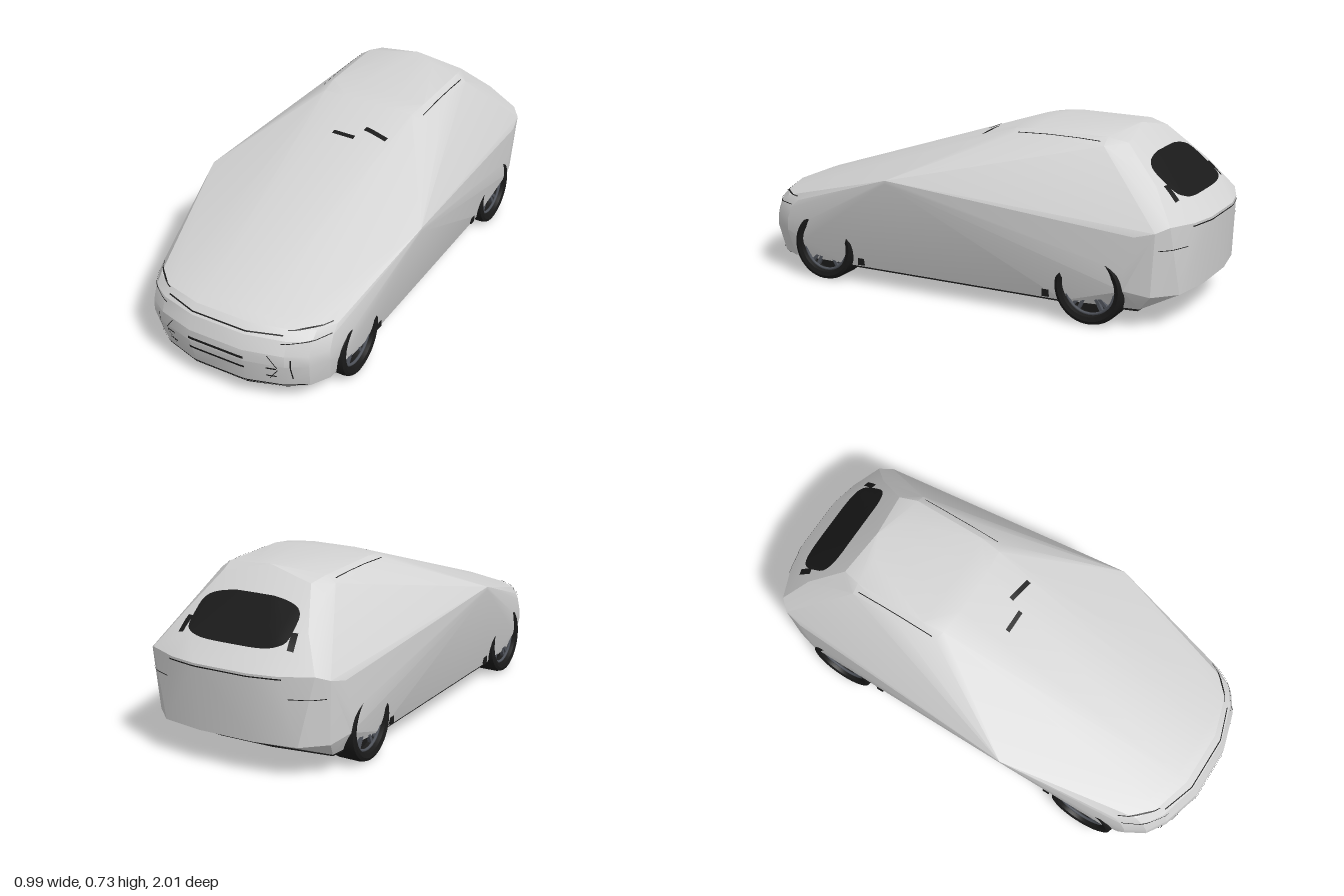
import * as THREE from 'three';
import { toCreasedNormals } from 'three/addons/utils/BufferGeometryUtils.js';
import { ConvexGeometry } from 'three/addons/geometries/ConvexGeometry.js';

const material = (name, color, side = THREE.FrontSide) => {
  const m = new THREE.MeshStandardMaterial({ color, side });
  m.name = name;
  return m;
};

// Key points of the body's left half; the shell is stretched over these and their mirror
function bodyPoints() {
  const half = [];
  const push = (x, y, z) => half.push(new THREE.Vector3(x, y, z));
  // Nose: one plan outline repeated at several heights, set back and crowned
  const plan = [[0.12, 1], [0.28, 0.953], [0.36, 0.9], [0.405, 0.82]];
  const levels = [[0.08, 0.028, 0.96], [0.2, 0, 1], [0.25, 0.002, 1], [0.31, 0.025, 1], [0.345, 0.06, 1], [0.362, 0.105, 0.97]];
  for (const [y, setBack, width] of levels) {
    for (const [x, z] of plan) push(x * width, y * (1 - 0.3 * x * x), z - setBack);
  }
  // Wheel arches and sill
  for (const [z, sillZ] of [[0.72, 0.5], [-0.76, -0.5]]) {
    push(0.425, 0.24, z);
    push(0.42, 0.16, z);
    push(0.403, 0.078, sillZ);
  }
  // Door mirror tip
  push(0.495, 0.492, 0.26);
  push(0.495, 0.478, 0.26);
  push(0.49, 0.485, 0.28);
  // Roof
  const roof = [
    [0.1, 0.712, -0.18], [0.21, 0.703, -0.19], [0.25, 0.688, -0.2], [0.1, 0.721, -0.27], [0.22, 0.712, -0.28],
    [0.265, 0.685, -0.4], [0.1, 0.726, -0.6], [0.22, 0.709, -0.6], [0.26, 0.68, -0.6], [0, 0.734, -0.65],
  ];
  // Tailgate and rear bumper
  const tail = [
    [0.2, 0.69, -0.68], [0.24, 0.64, -0.72], [0.28, 0.55, -0.83], [0.2, 0.5, -0.91],
    [0.12, 0.415, -1], [0.24, 0.415, -0.975], [0.365, 0.42, -0.925], [0.405, 0.4, -0.88], [0.42, 0.38, -0.8],
    [0.12, 0.14, -0.975], [0.3, 0.14, -0.945], [0.39, 0.14, -0.86], [0.12, 0.08, -0.84], [0.37, 0.08, -0.81],
  ];
  for (const p of [...roof, ...tail]) push(...p);
  return half.flatMap((p) => [p, new THREE.Vector3(-p.x, p.y, p.z)]);
}

export function createModel() {
  const paint = material('pale grey paint', 0xd4d4d4);
  const black = material('black trim', 0x1a1a1a, THREE.DoubleSide);
  const rimGrey = material('dark grey metal', 0x50545c);
  const car = new THREE.Group();
  const add = (name, geometry, mat, parent = car) => {
    const mesh = new THREE.Mesh(geometry, mat);
    mesh.name = name;
    parent.add(mesh);
    return mesh;
  };

  const body = add('bodyShell', toCreasedNormals(new ConvexGeometry(bodyPoints()), 0.3), paint);

  // Lay a flat patch onto the shell; the direction tells which way it is pressed on
  const ray = new THREE.Raycaster();
  const press = (name, geometry, direction) => {
    const p = geometry.attributes.position;
    const dir = direction === 'down' ? new THREE.Vector3(0, -1, 0)
      : new THREE.Vector3(0, 0, direction === 'back' ? -1 : 1);
    for (let i = 0; i < p.count; i++) {
      const u = p.getX(i), v = p.getY(i);
      const target = direction === 'down' ? new THREE.Vector3(u, 0.3, v) : new THREE.Vector3(u, v, 0);
      ray.set(target.clone().addScaledVector(dir, -3), dir);
      const hit = ray.intersectObject(body)[0];
      if (hit) target.copy(hit.point).addScaledVector(hit.face.normal, 0.004);
      p.setXYZ(i, target.x, target.y, target.z);
    }
    geometry.computeVertexNormals();
    add(name, geometry, black);
  };
  const strip = (name, x, v, width, height, direction, angle = 0) => press(name,
    new THREE.PlaneGeometry(width, height, Math.ceil(width / 0.02), Math.ceil(height / 0.02))
      .rotateZ(angle).translate(x, v, 0), direction);

  // Rear window: a rounded rectangle
  const glass = new THREE.RingGeometry(0.001, 1, 48, 10);
  const g = glass.attributes.position;
  const soft = (t) => Math.sign(t) * Math.abs(t) ** 0.5;
  for (let i = 0; i < g.count; i++) {
    const x = g.getX(i), y = g.getY(i), r = Math.hypot(x, y), a = Math.atan2(y, x);
    g.setXY(i, 0.225 * r * soft(Math.cos(a)), -0.838 + 0.086 * r * soft(Math.sin(a)));
  }
  press('rearWindow', glass, 'down');

  // Wipers, grille slots and seams
  strip('wiperPivot', 0, 0.015, 0.1, 0.018, 'down');
  strip('wiperBlade', 0.125, -0.035, 0.11, 0.02, 'down', 0.15);
  strip('upperGrilleSlot', 0, 0.216, 0.25, 0.011, 'back');
  strip('lowerGrilleSlot', 0, 0.168, 0.25, 0.011, 'back');
  strip('bonnetSeam', 0, 0.318, 0.52, 0.004, 'back');
  strip('bumperLip', 0, 0.09, 0.68, 0.006, 'back');
  strip('tailgateSeam', 0, 0.405, 0.5, 0.005, 'forward');
  for (const s of [-1, 1]) {
    strip('rearQuarterGlass', s * 0.24, -0.875, 0.026, 0.055, 'down', s * 0.2);
    strip('intakeSlotUpper', s * 0.23, 0.182, 0.04, 0.008, 'back');
    strip('intakeSlotLower', s * 0.225, 0.138, 0.04, 0.007, 'back');
    strip('intakeEdgeUpper', s * 0.235, 0.215, 0.065, 0.003, 'back', s * -0.95);
    strip('intakeEdgeLower', s * 0.235, 0.15, 0.065, 0.003, 'back', s * 0.95);
    strip('headlampUpperEdge', s * 0.33, 0.336, 0.12, 0.003, 'back', s * 0.04);
    strip('headlampLowerEdge', s * 0.33, 0.298, 0.14, 0.003, 'back', s * 0.08);
    strip('cornerVent', s * 0.3, 0.18, 0.004, 0.1, 'back');
    strip('tailLampEdge', s * 0.33, 0.33, 0.12, 0.003, 'forward');
    strip('roofSeam', s * 0.245, -0.4, 0.003, 0.36, 'down');
  }

  // Underbody plate
  const edge = [[0.12, 0.965], [0.27, 0.915], [0.345, 0.86], [0.38, 0.78], [0.398, 0.5], [0.398, -0.5], [0.365, -0.8], [0.12, -0.835]];
  const floor = new THREE.Shape([...edge, ...edge.map(([x, z]) => [-x, z]).reverse()]
    .map(([x, z]) => new THREE.Vector2(x, z)));
  add('underbody', new THREE.ExtrudeGeometry(floor, { depth: 0.009, bevelEnabled: false })
    .rotateX(Math.PI / 2).translate(0, 0.079, 0), black);

  // Wheels, built facing +x and turned for the other side
  const tyreProfile = [[0.108, -0.05], [0.138, -0.06], [0.146, -0.048], [0.147, 0.04], [0.142, 0.056], [0.13, 0.061], [0.113, 0.056], [0.108, 0.03], [0.108, -0.05]]
    .map(([r, x]) => new THREE.Vector2(r, x));
  for (const s of [-1, 1]) for (const z of [0.62, -0.615]) {
    const wheel = new THREE.Group();
    wheel.name = z > 0 ? 'frontWheel' : 'rearWheel';
    add('tyre', toCreasedNormals(new THREE.LatheGeometry(tyreProfile, 40).rotateZ(-Math.PI / 2), 0.6), black, wheel);
    add('rimBack', new THREE.CylinderGeometry(0.109, 0.109, 0.06, 32).rotateZ(Math.PI / 2).translate(-0.02, 0, 0), black, wheel);
    add('rimRing', new THREE.TorusGeometry(0.105, 0.006, 6, 36).rotateY(Math.PI / 2).translate(0.036, 0, 0), rimGrey, wheel);
    add('hub', new THREE.CylinderGeometry(0.022, 0.022, 0.02, 16).rotateZ(Math.PI / 2).translate(0.025, 0, 0), rimGrey, wheel);
    for (let i = 0; i < 5; i++) for (const off of [-0.13, 0.13]) {
      add('spoke', new THREE.BoxGeometry(0.016, 0.09, 0.013).translate(0.024, 0.06, 0)
        .rotateX(i * Math.PI * 0.4 + off), rimGrey, wheel);
    }
    wheel.position.set(s * 0.369, 0.147, z);
    if (s < 0) wheel.rotation.y = Math.PI;
    car.add(wheel);
    // Small flap beside each wheel
    const flap = add('wheelFlap', new THREE.BoxGeometry(0.02, 0.03, 0.03), black);
    flap.position.set(s * 0.402, 0.1, z > 0 ? 0.44 : -0.425);
  }
  return car;
}
